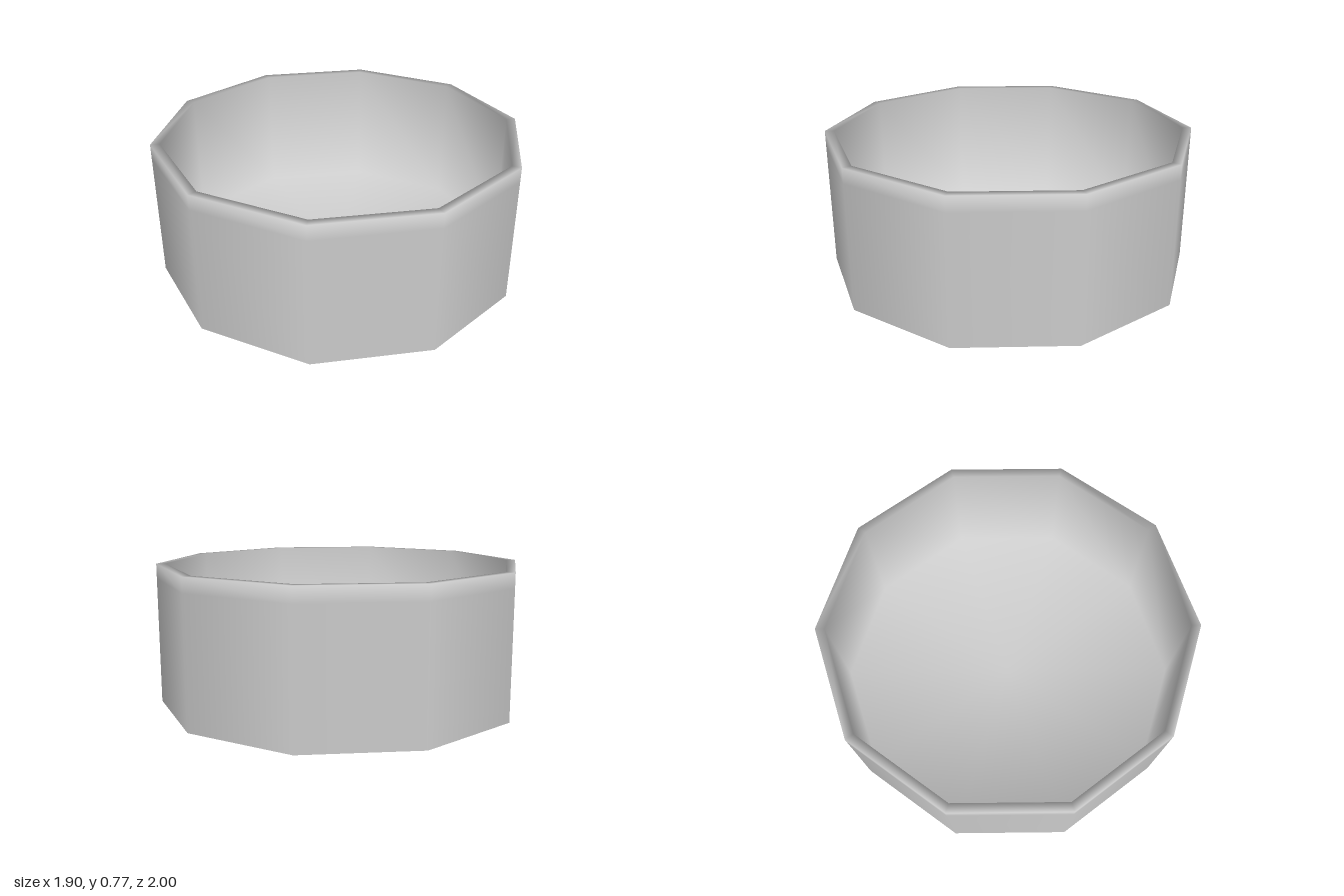
import * as THREE from 'three';

export function createModel() {
  const group = new THREE.Group();
  group.name = 'tenSidedBowl';

  const material = new THREE.MeshStandardMaterial({ color: 0xcccccc, side: THREE.DoubleSide });

  // Outer wall, flat rim, inner wall and raised floor; the underside stays open
  const profile = [
    [1, 0], [1, 0.69], [1, 0.77],
    [0.95, 0.77], [0.95, 0.05], [0, 0.05],
  ].map(([r, y]) => new THREE.Vector2(r, y));

  // Ten sides with a corner on +z and -z, smooth normals
  const bowl = new THREE.Mesh(new THREE.LatheGeometry(profile, 10), material);
  bowl.name = 'bowl';
  group.add(bowl);

  return group;
}
